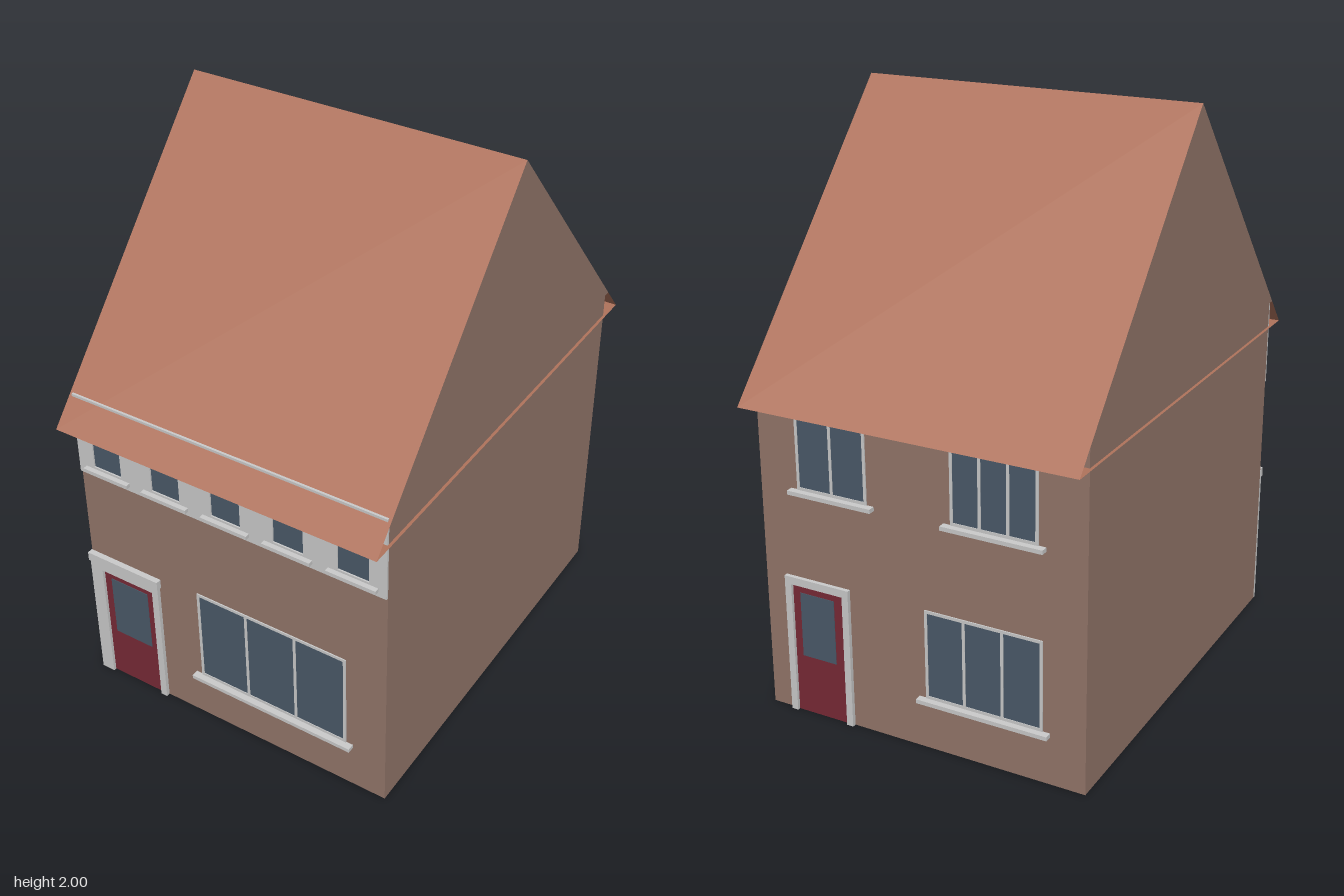
import * as THREE from 'three';

const mat = (color) => new THREE.MeshStandardMaterial({ color, side: THREE.DoubleSide });

// Main dimensions: half width, half depth, wall height, ridge height, eaves
const W = 0.582, D = 0.725, WALL = 1.181, RIDGE = 2;
const EAVE_X = 0.592, EAVE_Y = 1.085, EAVE_Z = 0.81;

// Open-ended prism: a closed [z, y] section carried along x from -half to half
function prism(section, half) {
  const verts = [];
  section.forEach(([z0, y0], i) => {
    const [z1, y1] = section[(i + 1) % section.length];
    const a = [-half, y0, z0], b = [half, y0, z0], c = [half, y1, z1], d = [-half, y1, z1];
    verts.push(...a, ...b, ...c, ...a, ...c, ...d);
  });
  const geometry = new THREE.BufferGeometry();
  geometry.setAttribute('position', new THREE.Float32BufferAttribute(verts, 3));
  geometry.computeVertexNormals();
  return geometry;
}

export function createModel() {
  const brick = mat(0x93766a), tile = mat(0xb0735c), trim = mat(0xcccccc);
  const glass = mat(0x4b5a69), paint = mat(0x782a36);
  const model = new THREE.Group();
  model.name = 'house';

  const add = (parent, name, geometry, material) => {
    const mesh = new THREE.Mesh(geometry, material);
    mesh.name = name;
    parent.add(mesh);
    return mesh;
  };

  // Box given by its x and y ranges, standing proud of the wall face by depth
  const slab = (parent, name, x0, x1, y0, y1, depth, material) => {
    const mesh = add(parent, name, new THREE.BoxGeometry(x1 - x0, y1 - y0, depth), material);
    mesh.position.set((x0 + x1) / 2, (y0 + y1) / 2, D + depth / 2);
  };

  const rect = (Type, x0, x1, y0, y1) => new Type([
    new THREE.Vector2(x0, y0), new THREE.Vector2(x1, y0),
    new THREE.Vector2(x1, y1), new THREE.Vector2(x0, y1),
  ]);

  // Flat panel with rectangular holes, each hole as [x0, x1, y0, y1]
  const panel = (parent, name, outer, holes, depth) => {
    const shape = rect(THREE.Shape, ...outer);
    holes.forEach((h) => shape.holes.push(rect(THREE.Path, ...h)));
    const mesh = add(parent, name, new THREE.ExtrudeGeometry(shape, { depth, bevelEnabled: false }), trim);
    mesh.position.z = D;
  };

  const sill = (parent, x0, x1, y) => slab(parent, 'sill', x0, x1, y - 0.007, y + 0.007, 0.025, trim);

  // Nearly flush framed window split into equal panes, with a sill below
  const windowUnit = (parent, name, x0, x1, y0, y1, panes, sillY) => {
    const group = new THREE.Group();
    group.name = name;
    parent.add(group);
    const bar = 0.01, pitch = (x1 - x0 - bar) / panes;
    const holes = [];
    for (let i = 0; i < panes; i++) {
      holes.push([x0 + bar + i * pitch, x0 + (i + 1) * pitch, y0 + bar, y1 - bar]);
    }
    panel(group, 'windowFrame', [x0, x1, y0, y1], holes, 0.004);
    slab(group, 'glass', x0 + 0.004, x1 - 0.004, y0 + 0.004, y1 - 0.004, 0.002, glass);
    sill(group, x0 - 0.025, x1 + 0.025, sillY);
  };

  // Door leaf with a glazed upper part
  const doorLeaf = (parent, x0, x1, y1, pane) => {
    slab(parent, 'door', x0, x1, 0, y1, 0.003, paint);
    slab(parent, 'doorGlass', ...pane, 0.005, glass);
  };

  // Four brick walls, open underneath
  const wallGeometry = prism([[D, W], [-D, W], [-D, -W], [D, -W]], WALL / 2);
  add(model, 'walls', wallGeometry.rotateZ(Math.PI / 2), brick).position.y = WALL / 2;

  // Gables flush with the roof ends, slightly oversailing the walls
  for (const s of [-1, 1]) {
    const triangle = new THREE.Shape([
      new THREE.Vector2(-D, WALL), new THREE.Vector2(D, WALL), new THREE.Vector2(0, RIDGE),
    ]);
    const gable = add(model, 'gable', new THREE.ShapeGeometry(triangle), brick);
    gable.rotation.y = s * Math.PI / 2;
    gable.position.x = s * EAVE_X;
  }
  const atticFloor = add(model, 'atticFloor', new THREE.PlaneGeometry(2 * EAVE_X, 2 * D), brick);
  atticFloor.rotation.x = Math.PI / 2;
  atticFloor.position.y = WALL;

  // Roof: two slopes and a flat soffit
  add(model, 'roof', prism([[EAVE_Z, EAVE_Y], [0, RIDGE], [-EAVE_Z, EAVE_Y]], EAVE_X), tile);

  // Front: pale upper band with five windows
  const front = new THREE.Group();
  front.name = 'frontFace';
  model.add(front);
  const centres = [-2, -1, 0, 1, 2].map((i) => i * 0.2325);
  const openings = centres.map((x) => [x - 0.055, x + 0.055, 0.915, 1.15]);
  panel(front, 'upperBand', [-W, W, 0.875, 1.181], openings, 0.008);
  openings.forEach(([x0, x1, y0, y1]) => {
    slab(front, 'upperGlass', x0, x1, y0, y1, 0.003, glass);
    sill(front, x0 - 0.033, x1 + 0.033, 0.9);
  });

  // Front door with lintel, and the wide front window
  slab(front, 'doorJamb', -W, -0.533, 0, 0.5, 0.014, trim);
  slab(front, 'doorJamb', -0.322, -0.297, 0, 0.5, 0.014, trim);
  slab(front, 'doorHead', -0.533, -0.322, 0.47, 0.5, 0.014, trim);
  slab(front, 'doorLintel', -0.584, -0.292, 0.498, 0.532, 0.02, trim);
  doorLeaf(front, -0.533, -0.322, 0.47, [-0.505, -0.352, 0.2, 0.44]);
  windowUnit(front, 'frontWindow', -0.14, 0.435, 0.182, 0.547, 3, 0.175);

  // Back, laid out as seen from behind
  const back = new THREE.Group();
  back.name = 'backFace';
  back.rotation.y = Math.PI;
  model.add(back);
  slab(back, 'doorJamb', -0.502, -0.478, 0, 0.495, 0.014, trim);
  slab(back, 'doorJamb', -0.282, -0.258, 0, 0.495, 0.014, trim);
  slab(back, 'doorHead', -0.478, -0.282, 0.468, 0.495, 0.014, trim);
  doorLeaf(back, -0.478, -0.282, 0.468, [-0.45, -0.32, 0.21, 0.44]);
  windowUnit(back, 'lowerBackWindow', 0.02, 0.435, 0.182, 0.495, 3, 0.175);
  windowUnit(back, 'upperBackWindow', -0.44, -0.18, 0.807, 1.06, 2, 0.8);
  windowUnit(back, 'upperBackWindow', 0.12, 0.42, 0.807, 1.06, 3, 0.8);

  return model;
}
